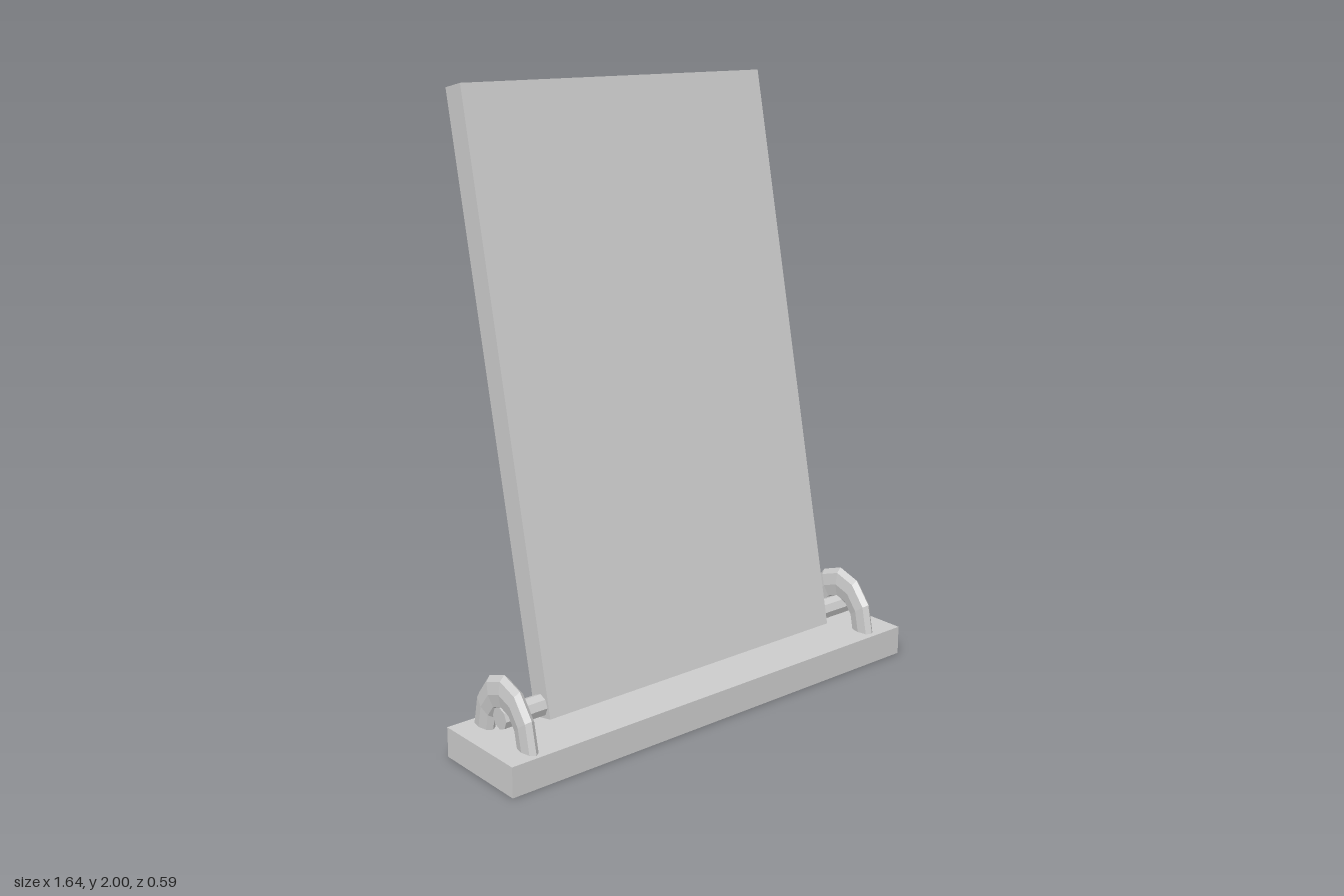
import * as THREE from 'three';

const material = new THREE.MeshStandardMaterial({ color: 0xcccccc, flatShading: true, side: THREE.DoubleSide });
const PIVOT_Z = 0.124;

function addPart(group, name, geometry, x, y, z) {
  const mesh = new THREE.Mesh(geometry, material);
  mesh.name = name;
  mesh.position.set(x, y, z);
  group.add(mesh);
  return mesh;
}

export function createModel() {
  const group = new THREE.Group();
  group.name = 'tiltingPanelOnStand';

  // Flat base slab
  addPart(group, 'base', new THREE.BoxGeometry(1.642, 0.098, 0.342), 0, 0.049, PIVOT_Z);

  // Panel leaning back, its lower edge wrapped round the axle
  const panel = addPart(group, 'panel', new THREE.BoxGeometry(1.184, 1.907, 0.08), -0.003, 1.059, -0.061);
  panel.rotation.x = -THREE.MathUtils.degToRad(11.77);

  // Axle running through both brackets
  const axle = new THREE.CylinderGeometry(0.035, 0.035, 1.49, 8).rotateZ(Math.PI / 2);
  addPart(group, 'axle', axle, 0, 0.165, PIVOT_Z);

  // Arched brackets: half rings, stretched upwards and flattened sideways
  const arch = new THREE.TorusGeometry(0.112, 0.045, 8, 6, Math.PI)
    .scale(1, 1.28, 0.52)
    .rotateY(Math.PI / 2);
  addPart(group, 'leftBracket', arch, 0.7, 0.098, PIVOT_Z);
  addPart(group, 'rightBracket', arch, -0.724, 0.098, PIVOT_Z);

  return group;
}
